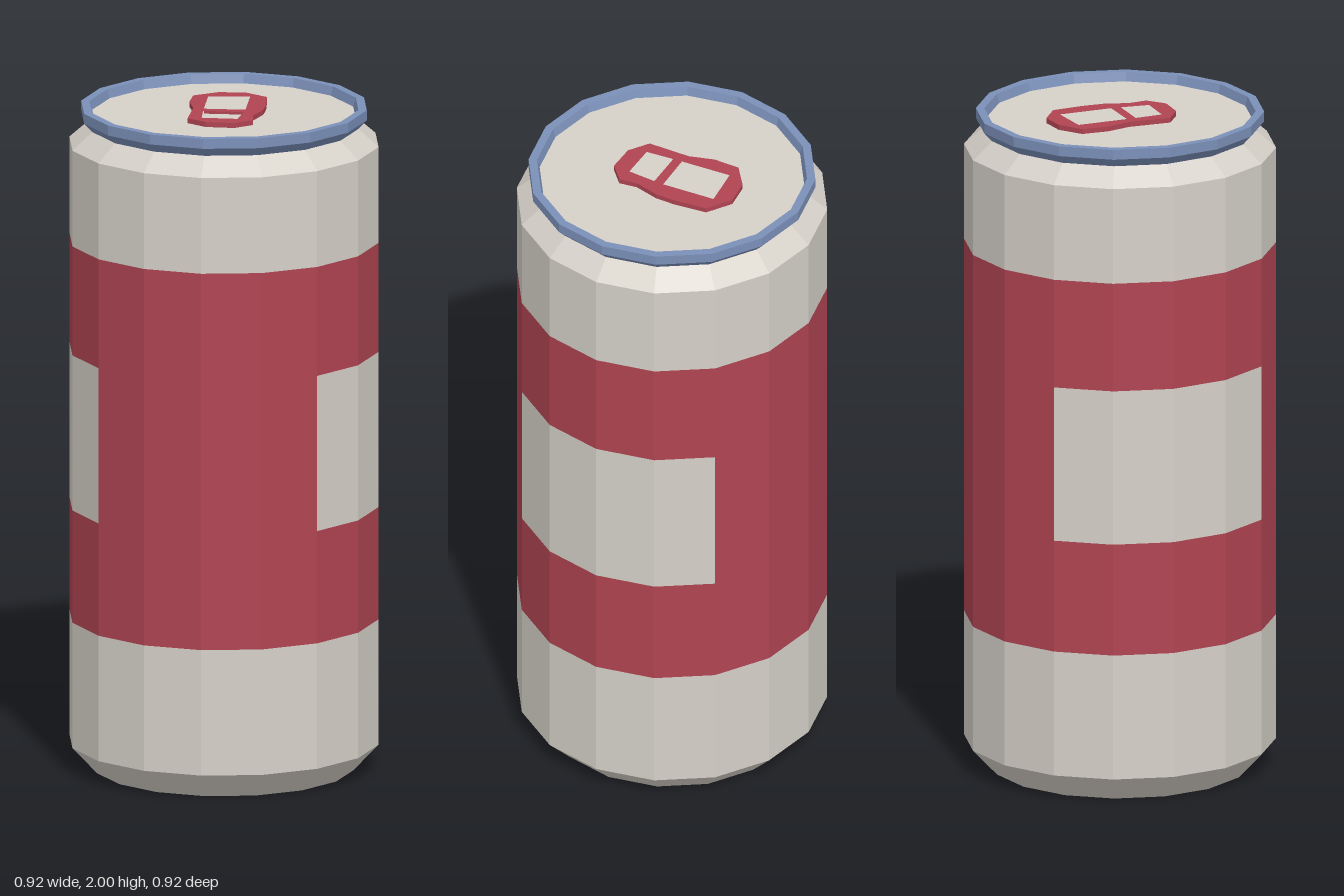
import * as THREE from 'three';

const SIDES = 16;
const R = 0.46;

function material(name, color) {
  const m = new THREE.MeshStandardMaterial({ color, flatShading: true });
  m.name = name;
  return m;
}

export function createModel() {
  const can = new THREE.Group();
  can.name = 'can';
  const silver = material('pale silver', 0xd6d1c9);
  const red = material('red', 0xb04452);
  const blue = material('steel blue', 0x7b90b9);

  const add = (name, geometry, mat) => {
    const mesh = new THREE.Mesh(geometry, mat);
    mesh.name = name;
    can.add(mesh);
    return mesh;
  };
  // Faceted ring following a [radius, height] profile, listed bottom to top
  const turned = (name, profile, mat) =>
    add(name, new THREE.LatheGeometry(profile.map(p => new THREE.Vector2(...p)), SIDES), mat);
  // Part of the can wall between two heights, starting at an angle from the front
  const wall = (name, y0, y1, start, sides, mat) => {
    const step = (Math.PI * 2) / SIDES;
    const g = new THREE.CylinderGeometry(R, R, y1 - y0, sides, 1, true, start * step, sides * step);
    g.translate(0, (y0 + y1) / 2, 0);
    add(name, g, mat);
  };

  // Body: closed chamfered base, and shoulder under the rim
  turned('base', [[0, 0], [0.385, 0], [R, 0.08], [R, 0.46]], silver);
  turned('shoulder', [[R, 1.6], [R, 1.89], [0.4, 1.943]], silver);

  // Red label band with a pale panel on each side
  wall('lowerBand', 0.46, 0.8, 0, SIDES, red);
  wall('upperBand', 1.27, 1.6, 0, SIDES, red);
  wall('frontBand', 0.8, 1.27, -2, 4, red);
  wall('leftPanel', 0.8, 1.27, 2, 4, silver);
  wall('backBand', 0.8, 1.27, 6, 4, red);
  wall('rightPanel', 0.8, 1.27, 10, 4, silver);

  // Rim, turned over the top and down to the recessed lid
  turned('rim', [[0.4, 1.943], [0.425, 1.97], [0.425, 2], [0.4, 2], [0.392, 1.972]], blue);
  turned('lid', [[0.394, 1.973], [0, 1.973]], silver);

  // Pull tab with two openings, outlined as [x, z]
  const points = list => list.map(([x, z]) => new THREE.Vector2(x, -z));
  const tab = new THREE.Shape(points([
    [-0.115, -0.16], [-0.05, -0.21], [0.03, -0.22], [0.103, -0.172], [0.115, -0.07], [0.115, -0.01],
    [0.096, 0.065], [0.104, 0.12], [0.055, 0.165], [-0.03, 0.165], [-0.09, 0.125],
    [-0.092, -0.005], [-0.115, -0.08],
  ]));
  tab.holes.push(
    new THREE.Path(points([[-0.07, -0.155], [0.053, -0.169], [0.063, -0.005], [-0.06, 0]])),
    new THREE.Path(points([[-0.058, 0.028], [0.062, 0.025], [0.057, 0.112], [-0.05, 0.113]])),
  );
  const tabGeometry = new THREE.ExtrudeGeometry(tab, { depth: 0.015, bevelEnabled: false });
  tabGeometry.rotateX(-Math.PI / 2);
  add('pullTab', tabGeometry, red).position.y = 1.973;

  return can;
}
